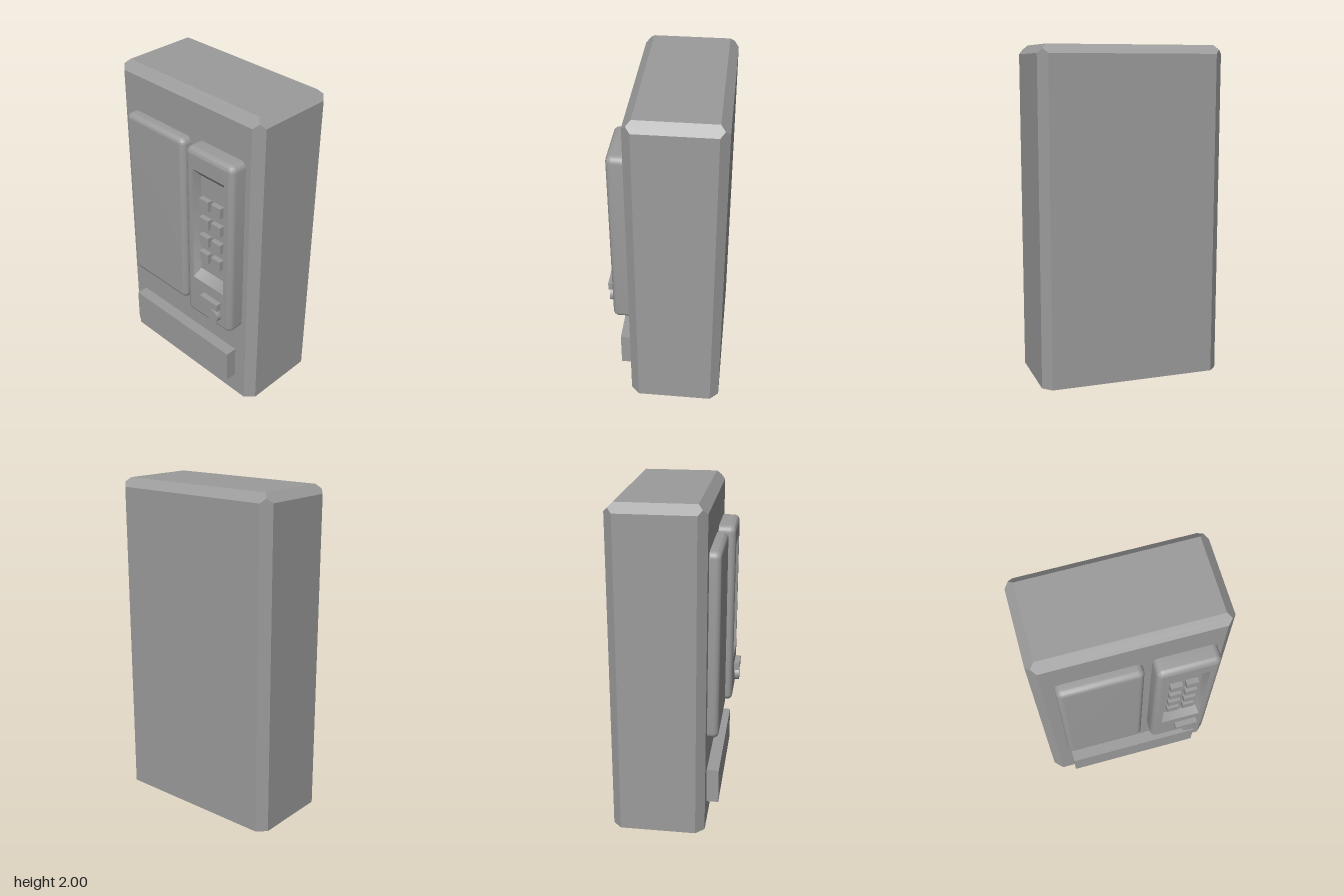
import * as THREE from 'three';
import { toCreasedNormals } from 'three/addons/utils/BufferGeometryUtils.js';
import { ConvexGeometry } from 'three/addons/geometries/ConvexGeometry.js';

const material = new THREE.MeshStandardMaterial({ color: 0x9b9b9b });
const FRONT = 0.212; // z of the cabinet's front face

function add(parent, name, geometry, x = 0, y = 0, z = 0) {
  const mesh = new THREE.Mesh(geometry, material);
  mesh.name = name;
  mesh.position.set(x, y, z);
  parent.add(mesh);
  return mesh;
}

// Box given by its extents
function addBox(parent, name, x0, x1, y0, y1, z0, z1) {
  return add(parent, name, new THREE.BoxGeometry(x1 - x0, y1 - y0, z1 - z0),
    (x0 + x1) / 2, (y0 + y1) / 2, (z0 + z1) / 2);
}

// Counter-clockwise rounded rectangle at depth z
function ring(x0, x1, y0, y1, r, z, steps = 6) {
  const corners = [[x1 - r, y1 - r], [x0 + r, y1 - r], [x0 + r, y0 + r], [x1 - r, y0 + r]];
  const points = [];
  corners.forEach(([cx, cy], c) => {
    for (let i = 0; i <= steps; i++) {
      const a = (c + i / steps) * Math.PI / 2;
      points.push([cx + r * Math.cos(a), cy + r * Math.sin(a), z]);
    }
  });
  return points;
}

// Skin the rings in order and close the last one with a fan
function loft(rings) {
  const n = rings[0].length;
  const index = [];
  for (let k = 0; k < rings.length - 1; k++) {
    for (let i = 0; i < n; i++) {
      const j = (i + 1) % n;
      const a = k * n + i, b = k * n + j, c = a + n, d = b + n;
      index.push(a, b, d, a, d, c);
    }
  }
  const last = (rings.length - 1) * n;
  for (let i = 1; i < n - 1; i++) index.push(last, last + i, last + i + 1);
  const geometry = new THREE.BufferGeometry();
  geometry.setAttribute('position', new THREE.Float32BufferAttribute(rings.flat(2), 3));
  geometry.setIndex(index);
  return toCreasedNormals(geometry, 0.6);
}

// Rings of a raised panel whose front edge is rounded by r;
// the last ring lies on the front face and keeps it evenly shaded
function raisedPanel(x0, x1, y0, y1, z1, r) {
  const rings = [ring(x0, x1, y0, y1, r + 0.005, FRONT - 0.01)];
  for (let i = 0; i <= 6; i++) {
    const a = (i / 6) * Math.PI / 2;
    const inset = r * (1 - Math.cos(a));
    rings.push(ring(x0 + inset, x1 - inset, y0 + inset, y1 - inset,
      r + 0.005 - inset, z1 - r + r * Math.sin(a)));
  }
  const rim = r + 0.003;
  rings.push(ring(x0 + rim, x1 - rim, y0 + rim, y1 - rim, 0.002, z1));
  return rings;
}

export function createModel() {
  const model = new THREE.Group();
  model.name = 'vendingMachine';

  // Cabinet: chamfered on the upright and top edges, flat underneath
  const w = 0.56, d = 0.281, h = 2, c = 0.052;
  const points = [];
  for (const sx of [-1, 1]) {
    for (const sz of [-1, 1]) {
      points.push(new THREE.Vector3(sx * (w - c), h, sz * (d - c)));
      // Point where the three chamfers meet
      points.push(new THREE.Vector3(sx * (w - c / 2), h - c / 2, sz * (d - c / 2)));
      for (const y of [0, h - c]) {
        points.push(new THREE.Vector3(sx * w, y, sz * (d - c)));
        points.push(new THREE.Vector3(sx * (w - c), y, sz * d));
      }
    }
  }
  add(model, 'cabinet', new ConvexGeometry(points), 0, 0, FRONT - d);

  // Display window
  add(model, 'displayWindow', loft(raisedPanel(-0.44, 0.052, 0.582, 1.724, 0.279, 0.035)));

  // Control panel with a sloping recess
  const controls = new THREE.Group();
  controls.name = 'controls';
  model.add(controls);
  const floor = 0.268;
  add(controls, 'controlPanel', loft([
    ...raisedPanel(0.106, 0.472, 0.579, 1.737, 0.316, 0.035),
    ring(0.168, 0.412, 0.857, 1.612, 0.001, 0.316),
    ring(0.185, 0.395, 0.906, 1.558, 0.001, floor),
  ]));

  // Keypad, two columns of four
  for (const y of [1.397, 1.27, 1.148, 1.03]) {
    for (const x of [0.237, 0.333]) {
      addBox(controls, 'button', x - 0.036, x + 0.036, y - 0.032, y + 0.032, floor - 0.01, 0.3);
    }
  }

  // Coin slot and return knob
  addBox(controls, 'coinSlot', 0.255, 0.396, 0.736, 0.784, 0.3, 0.351);
  const knob = new THREE.CylinderGeometry(0.044, 0.044, 0.046, 32).rotateX(Math.PI / 2);
  add(controls, 'returnKnob', knob, 0.352, 0.676, 0.323);

  // Delivery hatch
  addBox(model, 'deliveryHatch', -0.423, 0.425, 0.145, 0.364, FRONT - 0.01, 0.285);

  return model;
}
